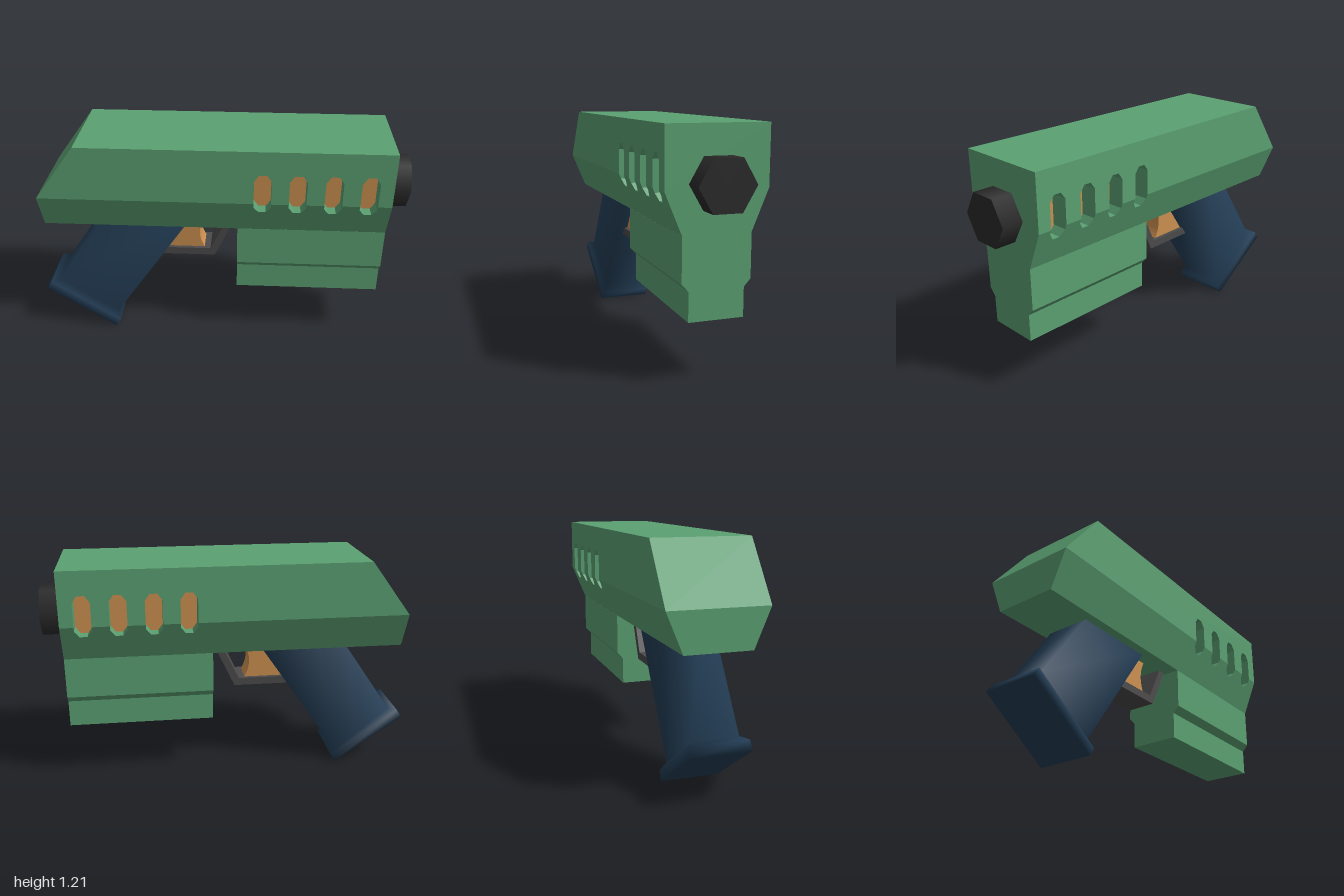
import * as THREE from 'three';

const paint = (color) => new THREE.MeshStandardMaterial({ color });
const green = paint(0x5ba072), navy = paint(0x233d55), orange = paint(0xcc9050);
const black = paint(0x2a2a2a), grey = paint(0x4c4a4a);

function add(parent, name, geometry, material) {
  const mesh = new THREE.Mesh(geometry, material);
  mesh.name = name;
  parent.add(mesh);
  return mesh;
}

// Extrudes an outline of [x, y] points, centred on z = 0
function slab(points, depth) {
  const shape = new THREE.Shape(points.map(([x, y]) => new THREE.Vector2(x, y)));
  return new THREE.ExtrudeGeometry(shape, { depth, bevelEnabled: false }).translate(0, 0, -depth / 2);
}

// Lofts rectangular sections { t, s, z } along y, with smooth shared normals
function loft(sections) {
  const pos = [], index = [], n = sections.length;
  for (const { t, s, z } of sections) pos.push(s, t, z, s, t, -z, -s, t, -z, -s, t, z);
  for (let i = 0; i < n - 1; i++) {
    for (let j = 0; j < 4; j++) {
      const a = i * 4 + j, b = i * 4 + (j + 1) % 4;
      index.push(a, b, b + 4, a, b + 4, a + 4);
    }
  }
  const e = (n - 1) * 4;
  index.push(0, 2, 1, 0, 3, 2, e, e + 1, e + 2, e, e + 2, e + 3);
  const g = new THREE.BufferGeometry();
  g.setAttribute('position', new THREE.Float32BufferAttribute(pos, 3));
  g.setIndex(index);
  g.computeVertexNormals();
  return g;
}

export function createModel() {
  const model = new THREE.Group();
  model.name = 'toyBlaster';

  // Slide: two halves meeting at the widest line, with vent notches along the seam
  const seam = 0.92, vents = [0.228, 0.409, 0.591, 0.773];
  const notches = (endY) => {
    const shoulder = endY + (endY > seam ? -0.035 : 0.035);
    return vents.flatMap((c) => [
      [c - 0.045, seam], [c - 0.045, shoulder], [c - 0.02, endY],
      [c + 0.02, endY], [c + 0.045, shoulder], [c + 0.045, seam],
    ]);
  };
  const slide = new THREE.Group();
  slide.name = 'slide';
  model.add(slide);
  add(slide, 'slideTop', slab([
    [-0.95, seam], ...notches(1.085), [0.89, seam], [0.89, 1.215], [-0.73, 1.215],
  ], 0.505), green);

  // Lower half narrows towards its underside
  const lower = slab([
    [-0.95, seam], ...notches(0.86), [0.89, seam], [0.89, 0.72], [-0.95, 0.72],
  ], 0.505);
  const p = lower.attributes.position;
  for (let i = 0; i < p.count; i++) p.setZ(i, p.getZ(i) * (1 - 1.64 * (seam - p.getY(i))));
  lower.computeVertexNormals();
  add(slide, 'slideBottom', lower, green);

  // Inner core seen through the vents
  add(model, 'ventCore', new THREE.BoxGeometry(0.7, 0.3, 0.32).translate(0.5, 0.97, 0), orange);

  // Stepped block under the front of the slide
  const block = slab([
    [-0.137, 0.318], [0.137, 0.318], [0.137, 0.463], [0.17, 0.5],
    [0.17, 0.72], [-0.17, 0.72], [-0.17, 0.5], [-0.137, 0.463],
  ], 0.79);
  add(model, 'frontBlock', block.rotateY(Math.PI / 2).translate(0.495, 0, 0), green);

  // Six-sided muzzle
  add(model, 'muzzle', new THREE.CylinderGeometry(0.14, 0.14, 0.14, 6)
    .rotateZ(-Math.PI / 2).translate(0.93, 0.95, 0), black);

  // Raked grip with a flared foot
  const grip = add(model, 'grip', loft([
    { t: 0, s: 0.232, z: 0.152 },
    { t: 0.055, s: 0.232, z: 0.152 },
    { t: 0.085, s: 0.195, z: 0.12 },
    { t: 0.87, s: 0.195, z: 0.12 },
  ]), navy);
  grip.position.set(-0.81, 0.133, 0);
  grip.rotation.z = -0.6;

  // Trigger with a concave front edge
  const blade = new THREE.Shape();
  blade.moveTo(-0.34, 0.52);
  blade.lineTo(-0.08, 0.52);
  blade.quadraticCurveTo(-0.145, 0.625, -0.08, 0.73);
  blade.lineTo(-0.3, 0.73);
  add(model, 'trigger', new THREE.ExtrudeGeometry(blade, { depth: 0.13, bevelEnabled: false })
    .translate(0, 0, -0.065), orange);

  // Trigger guard
  add(model, 'triggerGuard', slab([
    [-0.36, 0.488], [-0.028, 0.488], [0.085, 0.73], [0.043, 0.73], [-0.052, 0.53], [-0.36, 0.53],
  ], 0.17), grey);

  return model;
}
